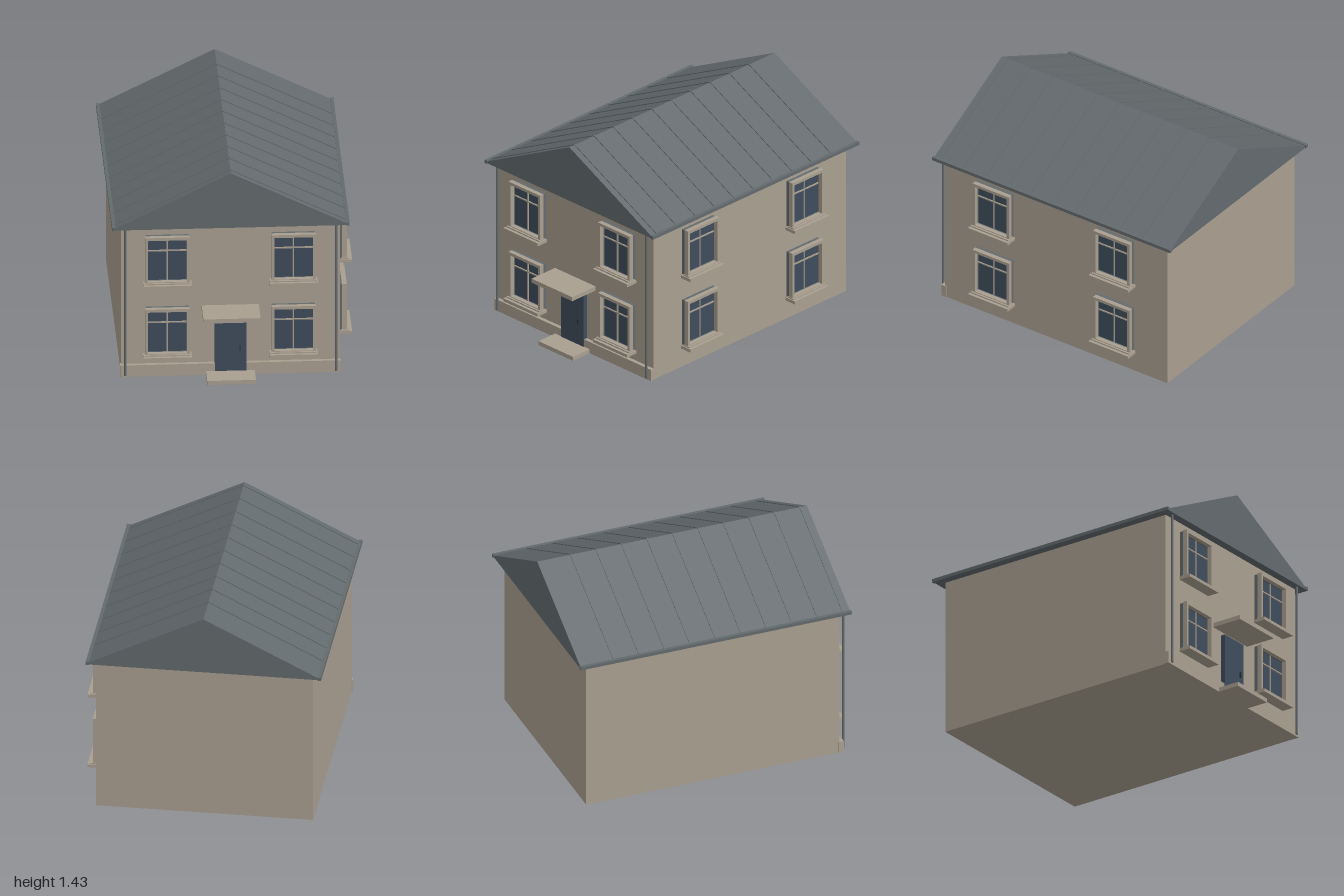
import * as THREE from 'three';

const mat = (name, color) => {
  const m = new THREE.MeshStandardMaterial({ color });
  m.name = name;
  return m;
};

export function createModel() {
  const house = new THREE.Group();
  house.name = 'house';
  const stone = mat('stone', 0xa99f90);
  const slate = mat('slate grey', 0x636a6d);
  const blue = mat('dark blue', 0x3e4c5b);
  const dark = mat('dark metal', 0x2b3036);

  // Box given by its minimum and maximum on each axis
  const box = (name, material, [x0, x1], [y0, y1], [z0, z1], parent = house) => {
    const mesh = new THREE.Mesh(new THREE.BoxGeometry(x1 - x0, y1 - y0, z1 - z0), material);
    mesh.position.set((x0 + x1) / 2, (y0 + y1) / 2, (z0 + z1) / 2);
    mesh.name = name;
    parent.add(mesh);
    return mesh;
  };

  const front = 0.79, side = 0.678, midX = -0.0165;

  // Walls and front plinth
  box('walls', stone, [-0.709, side], [0, 1.04], [-0.937, front]);
  box('plinth', stone, [-0.716, 0.682], [0, 0.08], [front - 0.01, 0.816]);

  // Gabled roof, closed underneath
  const half = 0.737, eave = 1.052, ridge = 1.421, roofFront = 0.845, roofBack = -0.993;
  const gable = new THREE.Shape([
    [-half, 1.04], [half, 1.04], [half, eave], [0, ridge], [-half, eave],
  ].map(([x, y]) => new THREE.Vector2(x + midX, y)));
  const roof = new THREE.Mesh(
    new THREE.ExtrudeGeometry(gable, { depth: roofFront - roofBack, bevelEnabled: false }), slate);
  roof.position.z = roofBack;
  roof.name = 'roof';
  house.add(roof);

  // Standing seams and gutters on both slopes
  const rise = ridge - eave, slope = Math.hypot(half, rise), pitch = Math.atan2(rise, half);
  for (const s of [-1, 1]) {
    for (let i = 0; i < 10; i++) {
      const seam = new THREE.Mesh(new THREE.BoxGeometry(slope, 0.01, 0.008), slate);
      seam.position.set(midX + s * half / 2, (eave + ridge) / 2, 0.797 - 0.1736 * i);
      seam.rotation.z = -s * pitch;
      seam.name = 'roofSeam';
      house.add(seam);
    }
    const gx = midX + s * 0.741;
    box('gutter', slate, [gx - 0.011, gx + 0.011], [1.038, 1.06], [-0.999, 0.85]);

    // Downpipe
    const pipe = new THREE.Mesh(new THREE.CylinderGeometry(0.008, 0.008, 1.025, 12), slate);
    pipe.position.set(midX + s * 0.667, 0.525, 0.824);
    pipe.name = 'downpipe';
    house.add(pipe);
  }

  // Window, built facing +z with the wall at z = 0 and the sill top at y = 0
  const rect = (path, w, y0, y1) => {
    path.moveTo(-w, y0); path.lineTo(w, y0); path.lineTo(w, y1); path.lineTo(-w, y1);
    path.closePath();
    return path;
  };
  const makeWindow = () => {
    const g = new THREE.Group();
    g.name = 'window';
    const ring = (name, material, w, y0, y1, z0, z1) => {
      const shape = rect(new THREE.Shape(), w, y0, y1);
      shape.holes.push(rect(new THREE.Path(), 0.123, 0.012, 0.302));
      const mesh = new THREE.Mesh(
        new THREE.ExtrudeGeometry(shape, { depth: z1 - z0, bevelEnabled: false }), material);
      mesh.position.z = z0;
      mesh.name = name;
      g.add(mesh);
    };
    ring('reveal', slate, 0.138, 0, 0.318, -0.005, 0.026);
    ring('frame', stone, 0.141, 0, 0.322, 0.026, 0.057);
    box('glass', blue, [-0.125, 0.125], [0.01, 0.304], [0.01, 0.018], g);
    box('mullion', stone, [-0.004, 0.004], [0.012, 0.302], [0.017, 0.026], g);
    box('transom', stone, [-0.123, 0.123], [0.214, 0.222], [0.017, 0.026], g);
    box('sillMoulding', stone, [-0.146, 0.146], [-0.002, 0.007], [0.02, 0.07], g);
    box('sill', stone, [-0.153, 0.153], [-0.022, -0.001], [0.008, 0.09], g);
    return g;
  };

  for (const y of [0.158, 0.659]) {
    for (const x of [-0.418, 0.381]) {
      const w = makeWindow();
      w.position.set(x, y, front);
      house.add(w);
    }
    for (const z of [0.395, -0.541]) {
      const w = makeWindow();
      w.position.set(side, y, z);
      w.rotation.y = Math.PI / 2;
      house.add(w);
    }
  }

  // Entrance
  box('door', blue, [-0.117, 0.085], [0.028, 0.42], [front - 0.005, 0.82]);
  box('doorHandle', dark, [0.04, 0.046], [0.175, 0.212], [0.82, 0.832]);
  box('doorstep', stone, [-0.173, 0.136], [0, 0.028], [front - 0.005, 0.965]);
  box('canopy', stone, [-0.199, 0.163], [0.447, 0.476], [front - 0.005, 1]);

  return house;
}
